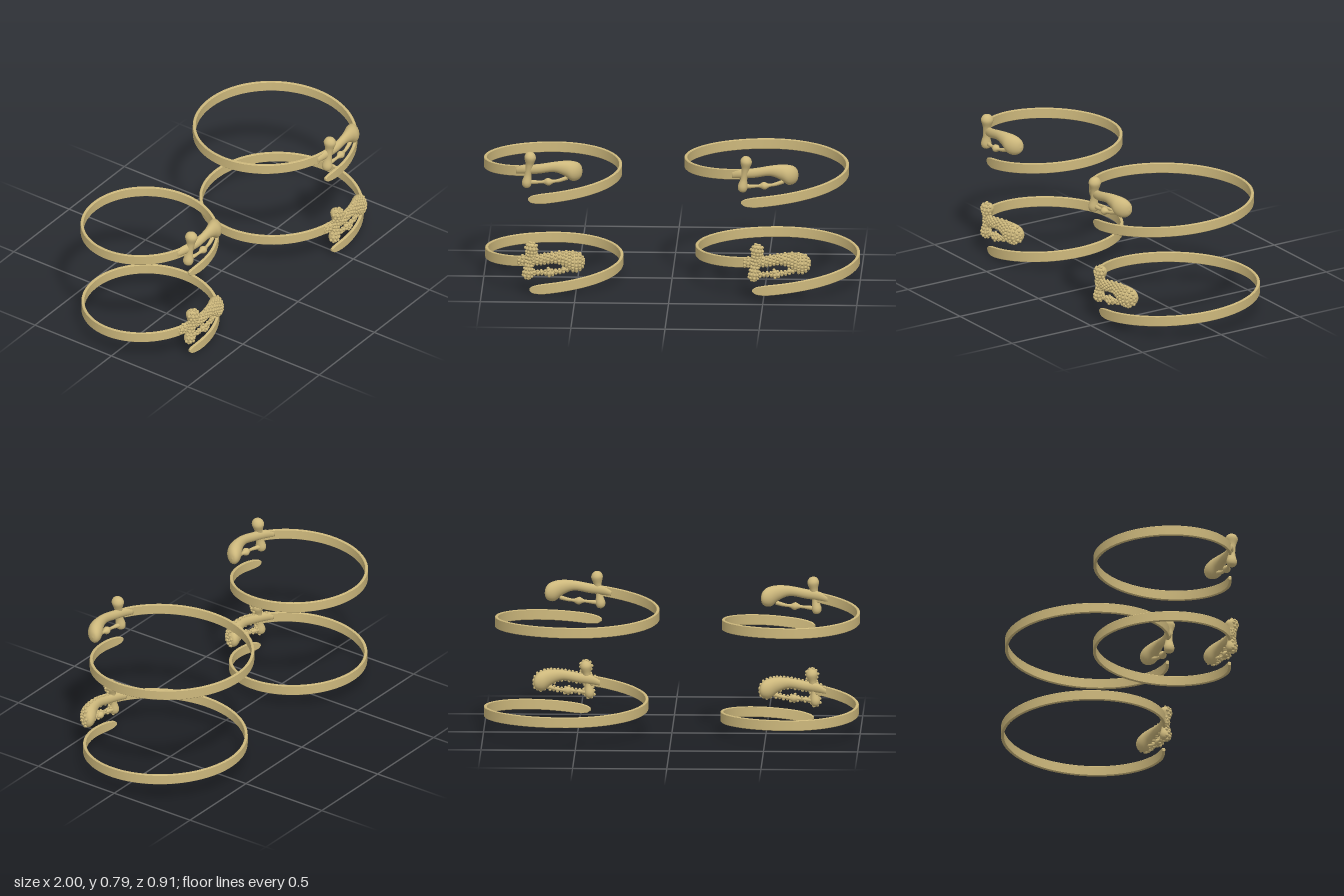
import * as THREE from 'three';
import { mergeGeometries, toCreasedNormals } from 'three/addons/utils/BufferGeometryUtils.js';

const gold = new THREE.MeshStandardMaterial({ color: 0xcdb87c });
gold.name = 'gold';

// Skin a list of closed cross-sections, with capped ends
function skin(sections) {
  const n = sections[0].length, m = sections.length, index = [];
  for (let i = 0; i < m - 1; i++) for (let j = 0; j < n; j++) {
    const a = i * n + j, d = i * n + (j + 1) % n, b = a + n, c = d + n;
    index.push(a, b, c, a, c, d);
  }
  const last = (m - 1) * n;
  for (let j = 1; j < n - 1; j++) index.push(0, j, j + 1, last, last + j + 1, last + j);
  const g = new THREE.BufferGeometry();
  g.setAttribute('position', new THREE.Float32BufferAttribute(sections.flat(2), 3));
  g.setIndex(index);
  g.computeVertexNormals();
  return g;
}

// Open spiral band, rising slowly at the back and faster near the front
function bandGeometry(r) {
  const a0 = -Math.asin(0.12 / r), a1 = Math.PI * 2 - Math.asin(0.13 / r), sections = [];
  for (let i = 0; i <= 120; i++) {
    const u = i / 120, a = a0 + (a1 - a0) * (0.3 * u * u + 0.7 * u);
    const t = (a - Math.PI) / Math.PI, y = 0.625 + 0.08 * t * Math.abs(t);
    const s = Math.min(1, (a - a0) * r / 0.1), taper = Math.sqrt(s * (2 - s));
    const lo = y - 0.028 * (0.1 + 0.9 * taper), hi = y + 0.028 * (0.45 + 0.55 * taper);
    const corner = (R, h) => [R * Math.sin(a), h, R * Math.cos(a)];
    const R = r - 0.016, e = 0.003;
    sections.push([corner(r - e, lo), corner(r, lo + e), corner(r, hi - e), corner(r - e, hi),
      corner(R + e, hi), corner(R, hi - e), corner(R, lo + e), corner(R + e, lo)]);
  }
  return toCreasedNormals(skin(sections), 0.6);
}

// Rounded limb following [x, y, radius] points, wrapped around the ring's front
function makeLimb(points, r, depth, zOff) {
  const curve = new THREE.CatmullRomCurve3(points.map(p => new THREE.Vector3(...p)));
  const first = points[0], last = points[points.length - 1];
  const d = new THREE.Vector2(last[0] - first[0], last[1] - first[1]).normalize();
  const surface = (u, phi, lift = 0) => {
    const c = curve.getPointAt(u), k = Math.max(c.z, 0.001) + lift, n = k * Math.cos(phi);
    return [c.x - d.y * n, c.y + d.x * n,
      Math.sqrt(r * r - c.x * c.x) - 0.008 + zOff - k * depth * Math.sin(phi)];
  };
  const sections = [];
  for (let i = 0; i <= 48; i++) {
    sections.push(Array.from({ length: 24 }, (_, j) => surface(i / 48, j / 24 * Math.PI * 2)));
  }
  return { geometry: skin(sections), surface, curve };
}

// Rows of tiny beads over the front half of a limb
function studGeometry(limb) {
  const list = [], rows = Math.round(limb.curve.getLength() / 0.02);
  for (let i = 0; i < rows; i++) {
    const u = (i + 0.5) / rows, k = Math.max(0.006, limb.curve.getPointAt(u).z);
    const count = Math.max(2, Math.round(k * Math.PI / 0.022));
    for (let j = 0; j <= count; j++) {
      const f = (j + (i % 2 ? 0.25 : -0.25)) / count - 0.5;
      const p = limb.surface(u, Math.PI * 1.5 + f * 2.6, 0.001);
      list.push(new THREE.SphereGeometry(0.0085, 8, 6).translate(...p));
    }
  }
  return mergeGeometries(list);
}

function makeRing(name, r, cx, dy, shift, studded) {
  const ring = new THREE.Group();
  ring.name = name;
  const add = (part, geometry) => {
    const mesh = new THREE.Mesh(geometry, gold);
    mesh.name = part;
    ring.add(mesh);
  };
  add('spiralBand', bandGeometry(r));

  const move = pts => pts.map(([x, y, k]) => [x + shift, y + 0.01, k]);
  const arm = makeLimb(move([[-0.185, 0.672, 0.018], [-0.15, 0.682, 0.024], [-0.07, 0.692, 0.026],
    [0.02, 0.706, 0.028], [0.075, 0.697, 0.041], [0.115, 0.68, 0.054], [0.145, 0.676, 0.047],
    [0.163, 0.674, 0.028], [0.169, 0.673, 0.001]]), r, 0.8, 0);
  const bar = makeLimb(move([[-0.105, 0.785, 0.001], [-0.106, 0.779, 0.019], [-0.108, 0.757, 0.031],
    [-0.112, 0.715, 0.021], [-0.12, 0.66, 0.018], [-0.127, 0.612, 0.026], [-0.129, 0.592, 0.019],
    [-0.13, 0.584, 0.001]]), r, 1.1, 0.008);
  // Thin rod with one bead joins the crossbar to the knob
  const rod = makeLimb(move([[-0.125, 0.615, 0.012], [-0.09, 0.618, 0.011], [-0.04, 0.622, 0.009],
    [-0.012, 0.624, 0.021], [0.016, 0.626, 0.009], [0.05, 0.632, 0.01], [0.09, 0.645, 0.012]]), r, 1, 0);
  add('knobbedArm', arm.geometry);
  add('crossbar', bar.geometry);
  add('beadedRod', rod.geometry);
  if (studded) {
    add('armStuds', studGeometry(arm));
    add('crossbarStuds', studGeometry(bar));
    add('rodStuds', studGeometry(rod));
  }
  ring.position.set(cx, dy, -0.014);
  return ring;
}

export function createModel() {
  const model = new THREE.Group();
  model.name = 'spiralRings';
  model.add(
    makeRing('smallPlainRing', 0.367, -0.633, -0.01, 0, false),
    makeRing('smallStuddedRing', 0.367, -0.626, -0.508, 0, true),
    makeRing('largePlainRing', 0.437, 0.502, 0, 0.015, false),
    makeRing('largeStuddedRing', 0.437, 0.561, -0.485, 0.015, true)
  );
  return model;
}
